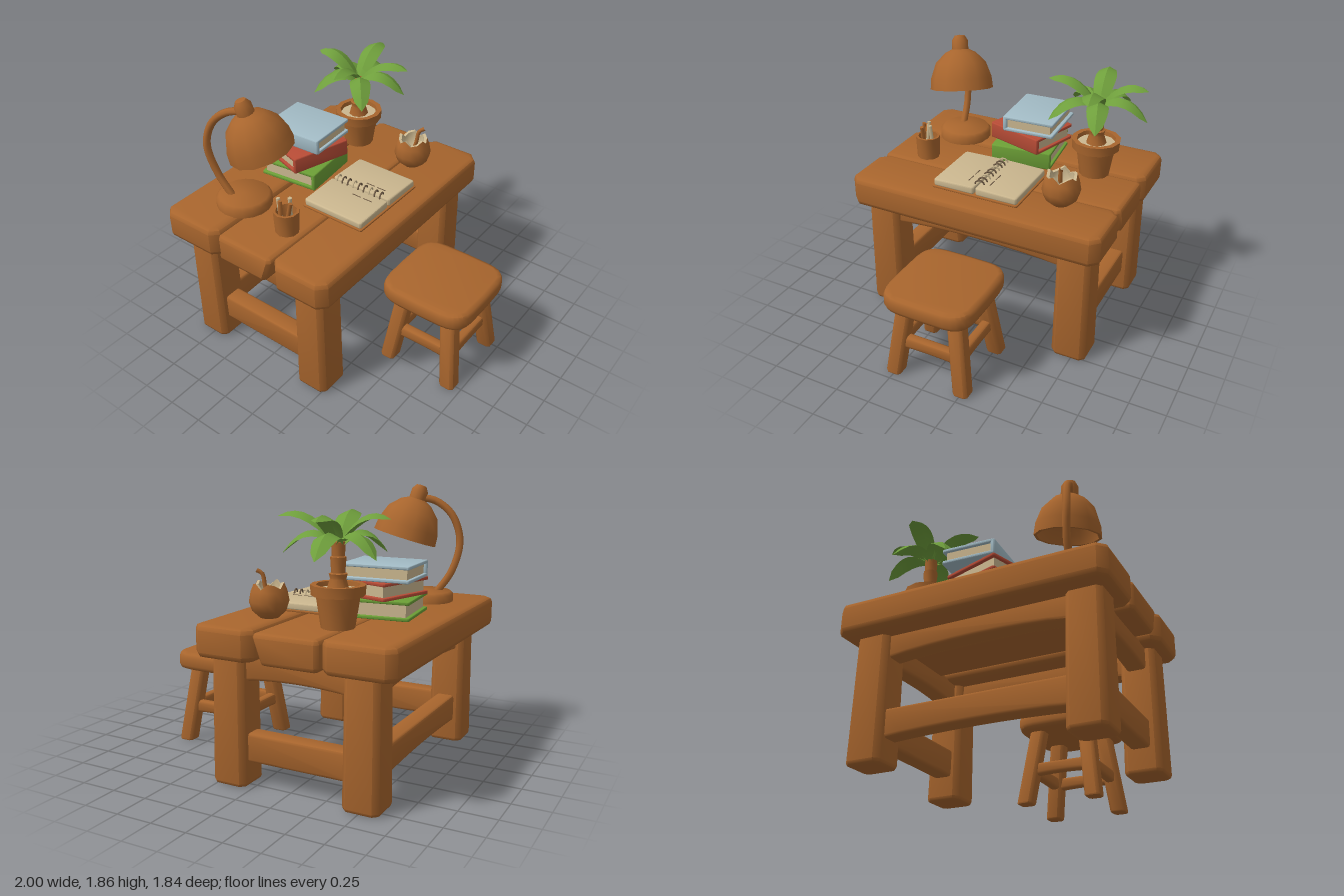
import * as THREE from 'three';
import { toCreasedNormals } from 'three/addons/utils/BufferGeometryUtils.js';

const mat = (name, color, side = THREE.FrontSide) => {
  const m = new THREE.MeshStandardMaterial({ color, side });
  m.name = name;
  return m;
};

export function createModel() {
  const root = new THREE.Group();
  root.name = 'deskAndStool';
  const wood = mat('wood', 0xa8652d);
  const paper = mat('paper', 0xcbb78f);
  const blue = mat('blueCover', 0xa3bcc6);
  const red = mat('redCover', 0xb84c36);
  const green = mat('greenCover', 0x6c9f36);
  const leafGreen = mat('leafGreen', 0x6f9f3c, THREE.DoubleSide);
  const ink = mat('ink', 0x6e5a45);

  const add = (name, geo, material, x = 0, y = 0, z = 0, parent = root) => {
    const m = new THREE.Mesh(geo, material);
    m.name = name;
    m.position.set(x, y, z);
    parent.add(m);
    return m;
  };
  const group = (name, x, y, z, yaw = 0) => {
    const g = new THREE.Group();
    g.name = name;
    g.position.set(x, y, z);
    g.rotation.y = yaw;
    root.add(g);
    return g;
  };
  const warp = (geo, fn) => {
    const p = geo.attributes.position, v = new THREE.Vector3();
    for (let i = 0; i < p.count; i++) {
      fn(v.fromBufferAttribute(p, i));
      p.setXYZ(i, v.x, v.y, v.z);
    }
    geo.computeVertexNormals();
    return geo;
  };

  // Outline extruded upwards from y = 0 with bevelled edges
  const slabFrom = (pts, h, b, fn) => {
    const geo = new THREE.ExtrudeGeometry(new THREE.Shape(pts), {
      depth: h - 2 * b, bevelEnabled: true, bevelSize: b, bevelThickness: b, bevelSegments: 2, bevelOffset: -b,
    });
    geo.translate(0, 0, b).rotateX(-Math.PI / 2);
    if (fn) warp(geo, fn);
    return toCreasedNormals(geo, 0.8);
  };
  const slab = (w, d, h, cut, b, fn) => {
    const x = w / 2, z = d / 2, c = cut;
    const pts = [[x - c, -z], [x, -z + c], [x, z - c], [x - c, z], [-x + c, z], [-x, z - c], [-x, -z + c], [-x + c, -z]];
    return slabFrom(pts.map(p => new THREE.Vector2(...p)), h, b, fn);
  };
  // Beam along x with an arched lower edge
  const beam = (len, y0, y1, arch, thick) => {
    const s = new THREE.Shape();
    s.moveTo(-len / 2, y0);
    s.quadraticCurveTo(0, y0 + 2 * arch, len / 2, y0);
    s.lineTo(len / 2, y1);
    s.lineTo(-len / 2, y1);
    const g = new THREE.ExtrudeGeometry(s, {
      depth: thick - 0.04, bevelSize: 0.02, bevelThickness: 0.02, bevelOffset: -0.02, bevelSegments: 2, curveSegments: 8,
    });
    return toCreasedNormals(g.translate(0, 0, 0.02 - thick / 2), 0.8);
  };
  const lathe = (pts, seg) =>
    toCreasedNormals(new THREE.LatheGeometry(pts.map(p => new THREE.Vector2(...p)), seg), 0.85);
  const tube = (pts, r, seg = 16) =>
    new THREE.TubeGeometry(new THREE.CatmullRomCurve3(pts.map(p => new THREE.Vector3(...p))), seg, r, 7);

  // Table planks
  add('leftPlank', slab(0.47, 1.84, 0.21, 0.055, 0.035), wood, -0.765, 0.85, 0);
  add('middlePlank', slab(0.45, 1.82, 0.2, 0.025, 0.03, v => {
    if (v.y < 0.1 && v.x > 0) v.x -= 0.05;
  }), wood, -0.295, 0.85, 0);
  add('rightPlank', slab(0.43, 1.84, 0.21, 0.06, 0.035), wood, 0.15, 0.85, 0);

  // Table legs, wider towards the foot
  for (const x of [-0.76, 0.16]) for (const z of [-0.725, 0.725])
    add('tableLeg', slab(0.245, 0.25, 0.87, 0.035, 0.025, v => {
      const k = 1 - 0.08 * v.y;
      v.x *= k;
      v.z *= k;
    }), wood, x, 0.01, z);

  // Aprons and stretchers
  for (const z of [-0.72, 0.72]) {
    add('endApron', beam(0.78, 0.7, 0.88, 0.025, 0.13), wood, -0.3, 0, z);
    add('endStretcher', beam(0.78, 0.17, 0.36, 0, 0.13), wood, -0.3, 0, z);
  }
  for (const x of [-0.76, 0.16])
    add('sideApron', beam(1.3, 0.7, 0.88, 0.035, 0.13), wood, x, 0, 0).rotation.y = Math.PI / 2;
  add('sideStretcher', beam(1.3, 0.17, 0.36, 0.02, 0.13), wood, -0.76, 0, 0).rotation.y = Math.PI / 2;

  // Stool
  const stool = group('stool', 0.66, 0, 0);
  const seatPts = [];
  for (let i = 0; i < 32; i++) {
    const a = (i / 32) * Math.PI * 2, c = Math.cos(a), s = Math.sin(a);
    seatPts.push(new THREE.Vector2(
      0.335 * Math.sign(c) * Math.abs(c) ** 0.42, 0.325 * Math.sign(s) * Math.abs(s) ** 0.42));
  }
  add('stoolSeat', slabFrom(seatPts, 0.125, 0.035), wood, 0, 0.55, 0, stool);
  for (const sx of [-1, 1]) for (const sz of [-1, 1])
    add('stoolLeg', slab(0.11, 0.11, 0.58, 0.02, 0.012, v => {
      v.x -= sx * v.y * 0.13;
      v.z -= sz * v.y * 0.13;
    }), wood, sx * 0.245, 0.01, sz * 0.255, stool);
  for (const s of [-1, 1]) {
    add('stoolRung', beam(0.42, 0.22, 0.31, 0.008, 0.07), wood, 0, 0, s * 0.22, stool);
    add('stoolRung', beam(0.42, 0.22, 0.31, 0.008, 0.07), wood, s * 0.21, 0, 0, stool).rotation.y = Math.PI / 2;
  }

  // Lamp
  add('lampBase', lathe([[0, 0], [0.19, 0], [0.19, 0.055], [0.17, 0.075], [0, 0.08]], 18), wood, -0.62, 1.055, 0.53);
  add('lampArm', tube([[-0.67, 1.1, 0.58], [-0.78, 1.27, 0.6], [-0.825, 1.48, 0.62], [-0.77, 1.66, 0.6],
    [-0.66, 1.755, 0.57], [-0.55, 1.78, 0.53]], 0.026, 24), wood);
  const shade = add('lampShade', lathe([[0, 0.23], [0.14, 0.17], [0.195, 0.06], [0.205, 0], [0.226, 0], [0.218, 0.08],
    [0.18, 0.185], [0.11, 0.255], [0.058, 0.28], [0.058, 0.34], [0.035, 0.375], [0, 0.38]], 12), wood, -0.47, 1.5, 0.475);
  shade.quaternion.setFromUnitVectors(
    new THREE.Vector3(0, 1, 0), new THREE.Vector3(-0.09, 0.35, 0.06).normalize());

  // Closed books: two covers, spine on local +x, page block
  const book = (name, cover, w, d, h, x, y, z, yaw) => {
    const g = group(name, x, y, z, yaw), t = 0.022;
    add('bottomCover', slab(w, d, t, 0.008, 0.005), cover, 0, 0, 0, g);
    add('topCover', slab(w, d, t, 0.008, 0.005), cover, 0, h - t, 0, g);
    add('spine', slab(0.03, d, h, 0.008, 0.008), cover, w / 2 - 0.012, 0, 0, g);
    add('pages', new THREE.BoxGeometry(w - 0.05, h - t, d - 0.04), paper, 0, h / 2, 0, g);
  };
  book('greenBook', green, 0.44, 0.44, 0.125, -0.56, 1.06, -0.04, 0.1);
  book('redBook', red, 0.38, 0.44, 0.115, -0.55, 1.187, -0.05, -0.3);
  book('blueBook', blue, 0.37, 0.45, 0.108, -0.575, 1.303, -0.095, 0.05 - Math.PI / 2);

  // Open ring notebook
  const note = group('notebook', -0.025, 1.06, 0.02);
  add('notebookCover', slab(0.49, 0.64, 0.014, 0.01, 0.004), wood, 0, 0, 0, note);
  for (const s of [-1, 1]) {
    add('notebookPages', slab(0.47, 0.305, 0.055, 0.012, 0.01, v => {
      v.y *= 1 - 0.9 * Math.max(0, s * v.z);
    }), paper, 0, 0.012, s * 0.158, note);
    for (let i = 0; i < 2; i++)
      add('inkLine', new THREE.BoxGeometry(0.07, 0.004, 0.006), ink, 0.03 + i * 0.09, 0.066, s * 0.08, note);
  }
  for (let i = 0; i < 9; i++)
    add('ring', new THREE.TorusGeometry(0.033, 0.006, 5, 10), i % 3 ? ink : paper, -0.19 + i * 0.045, 0.062, -0.01, note)
      .rotation.y = Math.PI / 2 + 0.2;

  // Pencil cup
  const cup = group('pencilCup', -0.18, 1.06, 0.6);
  add('cup', lathe([[0, 0], [0.08, 0], [0.087, 0.16], [0.07, 0.16], [0.065, 0.05], [0, 0.05]], 10), wood, 0, 0, 0, cup);
  [[-0.035, 0.02, 0.14], [0.035, 0.02, -0.2], [0.005, -0.035, -0.08], [-0.01, 0.045, 0.05]].forEach(([x, z, tilt], i) => {
    const m = add('pencil', new THREE.CylinderGeometry(0.014, 0.014, 0.2, 6), i % 2 ? wood : paper, x, 0.145, z, cup);
    m.rotation.set(-z * 2, 0, tilt);
  });

  // Cracked coconut cup: jagged rim, pale inside, bent straw
  const coco = group('coconutCup', 0.03, 1.06, -0.53);
  const jag = (pts, rimY) => {
    const g = new THREE.LatheGeometry(pts.map(p => new THREE.Vector2(...p)), 14);
    warp(g, v => {
      if (v.y > rimY) v.y += 0.022 * Math.sin(Math.atan2(v.z, v.x) * 5) - 0.01;
    });
    return toCreasedNormals(g, 0.85);
  };
  add('coconutShell', jag([[0, 0], [0.06, 0.005], [0.11, 0.05], [0.13, 0.11], [0.118, 0.175], [0.1, 0.225]], 0.2), wood, 0, 0, 0, coco);
  add('coconutFlesh', jag([[0.1, 0.225], [0.08, 0.222], [0.085, 0.15], [0.05, 0.1], [0, 0.09]], 0.2), paper, 0, 0, 0, coco);
  add('straw', tube([[0, 0.1, 0], [0.03, 0.2, 0], [0.045, 0.285, -0.01], [0.075, 0.305, -0.03]], 0.014, 10), wood, 0, 0, 0, coco);

  // Potted palm
  const palm = group('pottedPalm', -0.48, 1.06, -0.57);
  add('pot', lathe([[0, 0], [0.105, 0], [0.135, 0.195], [0.165, 0.2], [0.17, 0.265], [0.135, 0.265], [0.13, 0.22]], 12), wood, 0, 0, 0, palm);
  add('potFill', new THREE.CylinderGeometry(0.134, 0.134, 0.02, 12), paper, 0, 0.225, 0, palm);
  add('trunk', lathe([[0.075, 0.22], [0.05, 0.3], [0.058, 0.33], [0.043, 0.335], [0.05, 0.43], [0.04, 0.435],
    [0.045, 0.52], [0, 0.53]], 9), wood, 0, 0, 0, palm);
  // Each leaf: tip x, tip z, rise, droop
  const up = [0.55, -0.39], low = [0.4, -0.46];
  const leaves = [[0.38, -0.06, up], [-0.32, 0.04, up], [0.05, 0.35, up], [-0.02, -0.33, up], [0.23, 0.27, low],
    [-0.21, 0.25, low], [-0.3, -0.12, low], [-0.02, -0.34, low], [0.33, -0.1, low]];
  for (const [tx, tz, [a, b]] of leaves) {
    const len = Math.hypot(tx, tz), dx = tx / len, dz = tz / len;
    const g = warp(new THREE.PlaneGeometry(1, 1, 2, 7), v => {
      const t = v.y + 0.5;
      const half = 0.018 + 0.055 * Math.sin(Math.PI * Math.min(1, t * 0.95 + 0.04)) ** 0.8;
      const side = v.x * 2 * (t > 0.99 ? 0 : half), out = t * len;
      v.set(dx * out - dz * side, 0.5 + a * t + b * t * t - Math.abs(side) * 0.45, dz * out + dx * side);
    });
    add('leaf', toCreasedNormals(g, 0.5), leafGreen, 0, 0, 0, palm);
  }
  return root;
}
